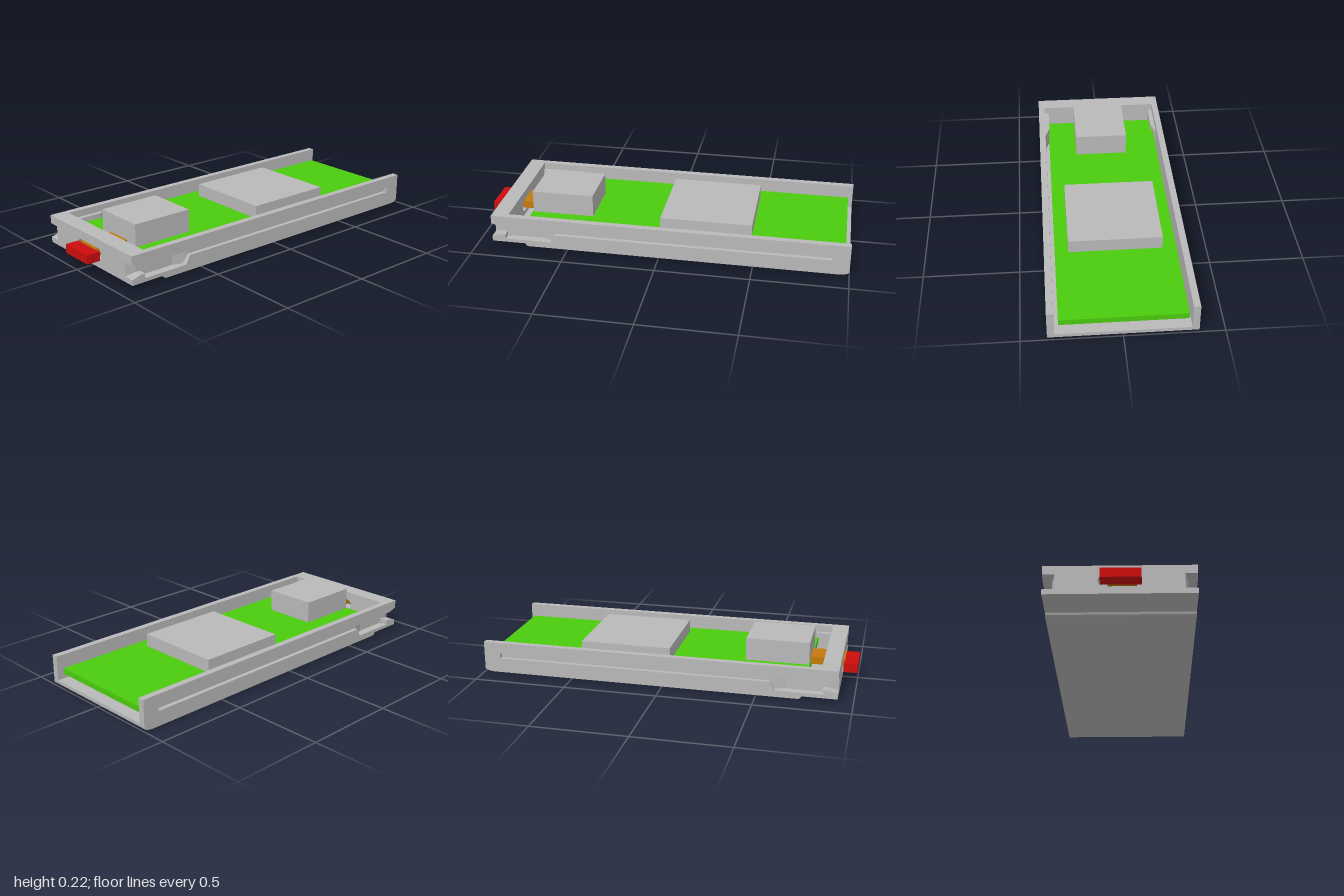
import * as THREE from 'three';

const material = (name, color) => {
  const m = new THREE.MeshStandardMaterial({ color });
  m.name = name;
  return m;
};

export function createModel() {
  const model = new THREE.Group();
  const grey = material('casing grey', 0xb9b9b9);
  const green = material('board green', 0x4bcc0e);
  const red = material('button red', 0xcc0d0d);
  const orange = material('stem orange', 0xc47a0c);

  const add = (name, geometry, mat) => {
    const mesh = new THREE.Mesh(geometry, mat);
    mesh.name = name;
    model.add(mesh);
  };
  const shapeOf = (pts) => new THREE.Shape(pts.map(([a, b]) => new THREE.Vector2(a, b)));
  const extrude = (shape, depth) =>
    new THREE.ExtrudeGeometry(shape, { depth, bevelEnabled: false, curveSegments: 10 });

  // box given by its limits
  const block = (name, mat, x0, x1, y0, y1, z0, z1) => add(name,
    new THREE.BoxGeometry(x1 - x0, y1 - y0, z1 - z0)
      .translate((x0 + x1) / 2, (y0 + y1) / 2, (z0 + z1) / 2), mat);

  // side profile of (z, y) points, extruded from x0 to x1
  const across = (name, pts, x0, x1) => add(name,
    extrude(shapeOf(pts), x1 - x0).rotateY(-Math.PI / 2).translate(x1, 0, 0), grey);

  // plan outline of (x, z) points, extruded from y0 to y1
  const upward = (name, pts, y0, y1) => add(name,
    extrude(shapeOf(pts), y1 - y0).rotateX(Math.PI / 2).translate(0, y1, 0), grey);

  // underside: rounded rear edge, low step near the front
  const underside = [[-1, 0.016], [-0.99, 0.008], [-0.975, 0.003], [-0.95, 0],
    [0.72, 0], [0.73, 0.005], [0.735, 0.016], [0.92, 0.016]];
  across('floor', [...underside, [0.92, 0.035], [-1, 0.035]], -0.335, 0.335);

  // side wall outline with latch recess and long guide groove cut from the front
  const wall = [...underside,
    [0.92, 0.045], [0.87, 0.06], [0.845, 0.06], [0.845, 0.035], [0.595, 0.035],
    [0.57, 0.08], [-0.91, 0.08], [-0.91, 0.107], [0.87, 0.107], [0.92, 0.122],
    [0.92, 0.168], [-1, 0.168]];
  const recessRoof = [[0.65, 0.107], [0.87, 0.107], [0.92, 0.122], [0.92, 0.13], [0.65, 0.13]];
  const recessFloor = [[0.65, 0.03], [0.92, 0.03], [0.92, 0.045], [0.87, 0.06],
    [0.845, 0.06], [0.845, 0.035], [0.65, 0.035]];
  const backing = [[0.335, -0.93], [0.335, 0.58], [0.31, 0.65], [0.31, 0.92],
    [0.325, 0.87], [0.325, 0.65], [0.347, 0.58], [0.347, -0.93]];
  const rampCap = [[0.335, 0.58], [0.31, 0.65], [0.335, 0.65]];

  for (const side of [-1, 1]) {
    const label = side > 0 ? 'left' : 'right';
    const span = (a, b) => (side > 0 ? [a, b] : [-b, -a]);
    const mirrored = (pts) => pts.map(([x, z]) => [x * side, z]);
    across(label + 'Wall', wall, ...span(0.335, 0.37));
    across(label + 'RecessRoof', recessRoof, ...span(0.31, 0.335));
    across(label + 'RecessFloor', recessFloor, ...span(0.31, 0.335));
    upward(label + 'GrooveBacking', mirrored(backing), 0.03, 0.122);
    upward(label + 'RecessCap', mirrored(rampCap), 0.107, 0.13);
  }

  // front wall with side notches and rounded slot
  const right = [[0.335, 0.016], [0.335, 0.045], [0.31, 0.045],
    [0.31, 0.122], [0.335, 0.122], [0.335, 0.168]];
  const front = shapeOf([...right, ...right.map(([x, y]) => [-x, y]).reverse()]);
  const slot = new THREE.Path();
  slot.absarc(0.073, 0.088, 0.0325, -Math.PI / 2, Math.PI / 2, false);
  slot.absarc(-0.073, 0.088, 0.0325, Math.PI / 2, Math.PI * 1.5, false);
  slot.closePath();
  front.holes.push(slot);
  add('frontWall', extrude(front, 0.09).translate(0, 0, 0.83), grey);

  // circuit board and its components
  block('circuitBoard', green, -0.322, 0.314, 0.071, 0.102, -0.975, 0.753);
  block('largeChip', grey, -0.249, 0.243, 0.102, 0.173, -0.479, 0.014);
  block('switchBody', grey, -0.136, 0.157, 0.102, 0.224, 0.407, 0.747);
  block('switchStem', orange, -0.059, 0.081, 0.08, 0.12, 0.747, 0.93);
  block('button', red, -0.093, 0.103, 0.061, 0.11, 0.926, 1);

  return model;
}
